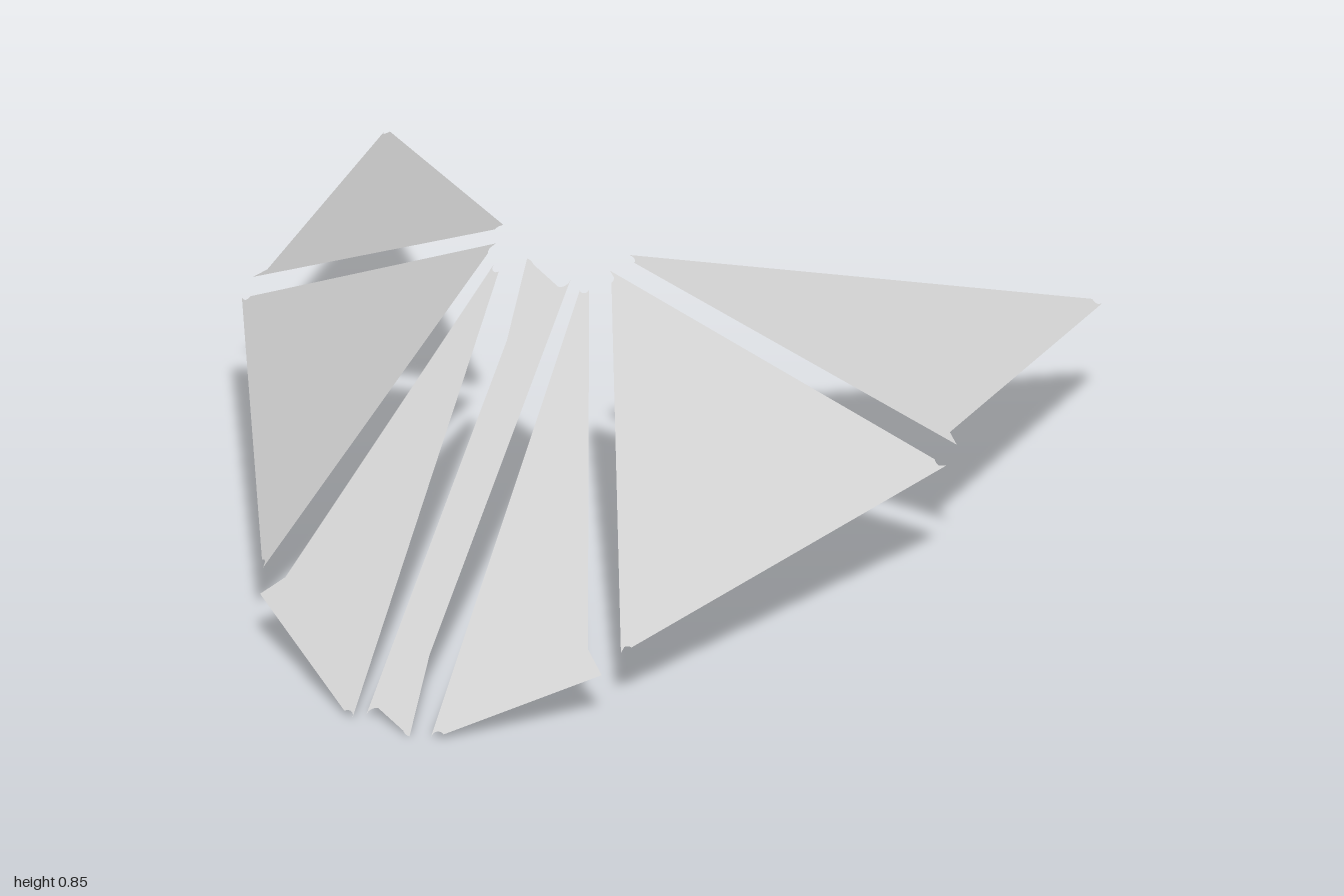
import * as THREE from 'three';

const panelMaterial = new THREE.MeshStandardMaterial({ color: 0xd0d0d0, side: THREE.DoubleSide });
panelMaterial.name = 'light grey';

// Thin flat panel: corners [x, y, z, radius], each rounded by an arc, filled from the middle
function panelGeometry(corners) {
  const pts = corners.map(([x, y, z]) => new THREE.Vector3(x, y, z));
  const n = pts.length;
  const rim = [];
  pts.forEach((p, i) => {
    const a = pts[(i + n - 1) % n].clone().sub(p).normalize();
    const b = pts[(i + 1) % n].clone().sub(p).normalize();
    const half = a.angleTo(b) / 2;
    const r = corners[i][3];
    const centre = a.clone().add(b).normalize().multiplyScalar(r / Math.sin(half)).add(p);
    const start = p.clone().addScaledVector(a, r / Math.tan(half)).sub(centre);
    const axis = b.clone().cross(a).normalize();
    const steps = 8;
    for (let k = 0; k <= steps; k++) {
      const turn = (Math.PI - 2 * half) * k / steps;
      rim.push(start.clone().applyAxisAngle(axis, -turn).add(centre));
    }
  });

  // Make the panel face outwards and up
  const normal = pts[1].clone().sub(pts[0]).cross(pts[2].clone().sub(pts[0]));
  if (normal.y < 0) rim.reverse();

  const middle = new THREE.Vector3();
  pts.forEach(p => middle.addScaledVector(p, 1 / n));
  const verts = [];
  rim.forEach((p, i) => {
    const q = rim[(i + 1) % rim.length];
    verts.push(...middle.toArray(), ...p.toArray(), ...q.toArray());
  });
  const geometry = new THREE.BufferGeometry();
  geometry.setAttribute('position', new THREE.Float32BufferAttribute(verts, 3));
  geometry.computeVertexNormals();
  return geometry;
}

export function createModel() {
  const model = new THREE.Group();
  model.name = 'foldedPanels';

  const add = (name, corners) => {
    const mesh = new THREE.Mesh(panelGeometry(corners), panelMaterial);
    mesh.name = name;
    model.add(mesh);
  };

  // Narrow strip down the middle
  add('centreStrip', [
    [-0.075, 0.85, 0.12, 0.025], [-0.075, 0, 0.995, 0.025],
    [0.075, 0, 0.995, 0.025], [0.075, 0.85, 0.12, 0.025],
  ]);

  // Three triangles on each side, from the middle outwards
  const sidePanels = {
    InnerPanel: [[0.105, 0.87, 0.105, 0.012], [0.105, -0.015, 1.015, 0.017], [0.473, 0.161, 0.757, 0.03]],
    MiddlePanel: [[0.128, 0.86, 0.088, 0.018], [0.49, 0.165, 0.727, 0.018], [0.955, 0.381, -0.18, 0.018]],
    OuterPanel: [[0.142, 0.868, 0.037, 0.013], [0.96, 0.39, -0.219, 0.03], [0.96, 0.39, -1.03, 0.014]],
  };
  for (const [name, corners] of Object.entries(sidePanels)) {
    for (const [side, s] of [['left', 1], ['right', -1]]) {
      add(side + name, corners.map(([x, y, z, r]) => [s * x, y, z, r]));
    }
  }
  return model;
}
